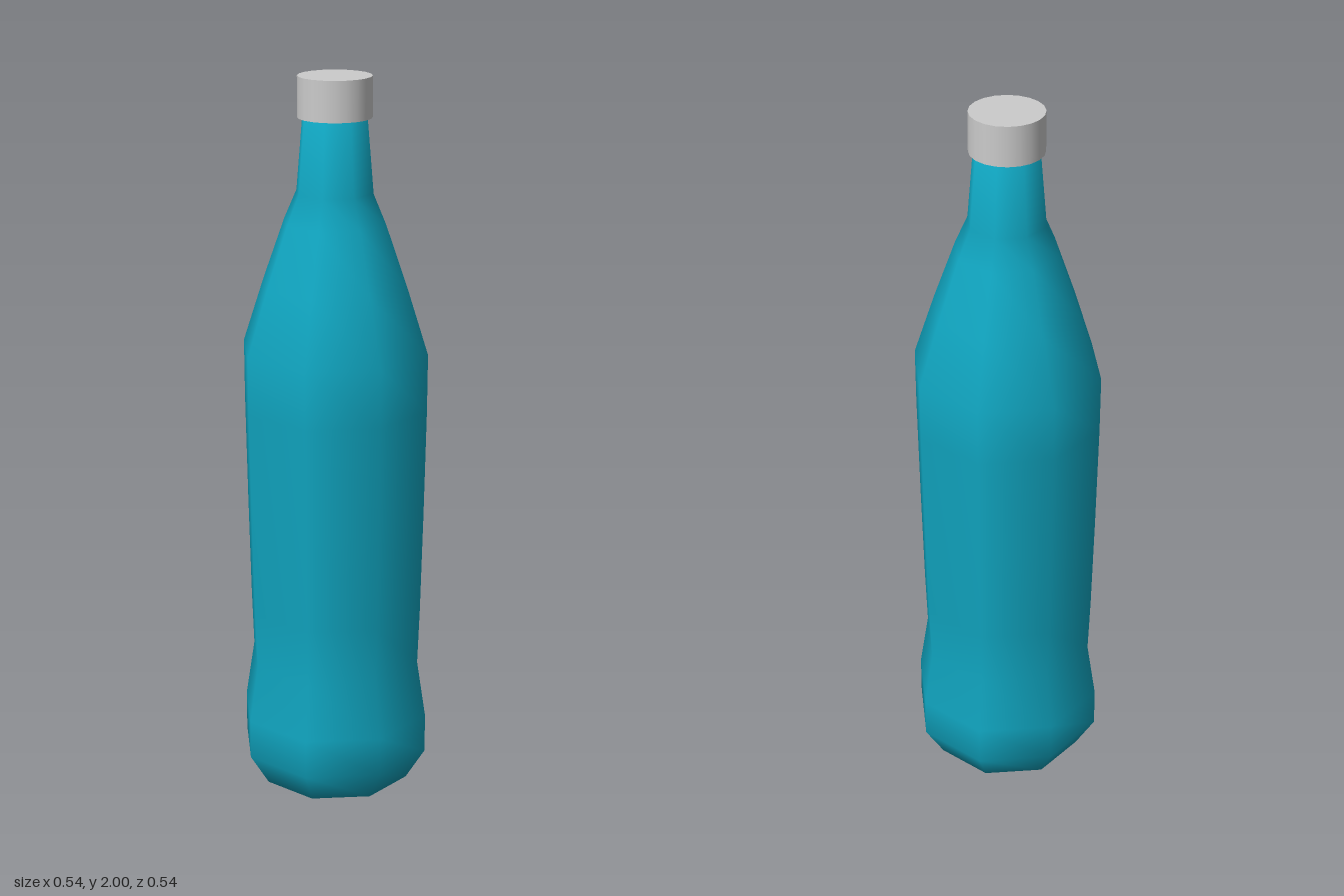
import * as THREE from 'three';

export function createModel() {
  const group = new THREE.Group();

  // Bottle body: eight-sided smooth lathe, from base centre to mouth
  const profile = [
    [0, 0.005], [0.213, 0], [0.268, 0.09], [0.268, 0.2], [0.243, 0.36],
    [0.249, 0.52], [0.256, 0.8], [0.262, 1.1], [0.263, 1.26],
    [0.204, 1.44], [0.143, 1.61], [0.108, 1.69], [0.09, 1.9], [0, 1.9],
  ].map(([r, y]) => new THREE.Vector2(r, y));
  const bottle = new THREE.Mesh(
    new THREE.LatheGeometry(profile, 8),
    new THREE.MeshStandardMaterial({ color: 0x10a5c0 })
  );
  bottle.name = 'bottle';
  group.add(bottle);

  // Screw cap
  const cap = new THREE.Mesh(
    new THREE.CylinderGeometry(0.1, 0.1, 0.11, 20),
    new THREE.MeshStandardMaterial({ color: 0xcccccc })
  );
  cap.name = 'cap';
  cap.position.y = 1.945;
  group.add(cap);

  return group;
}
